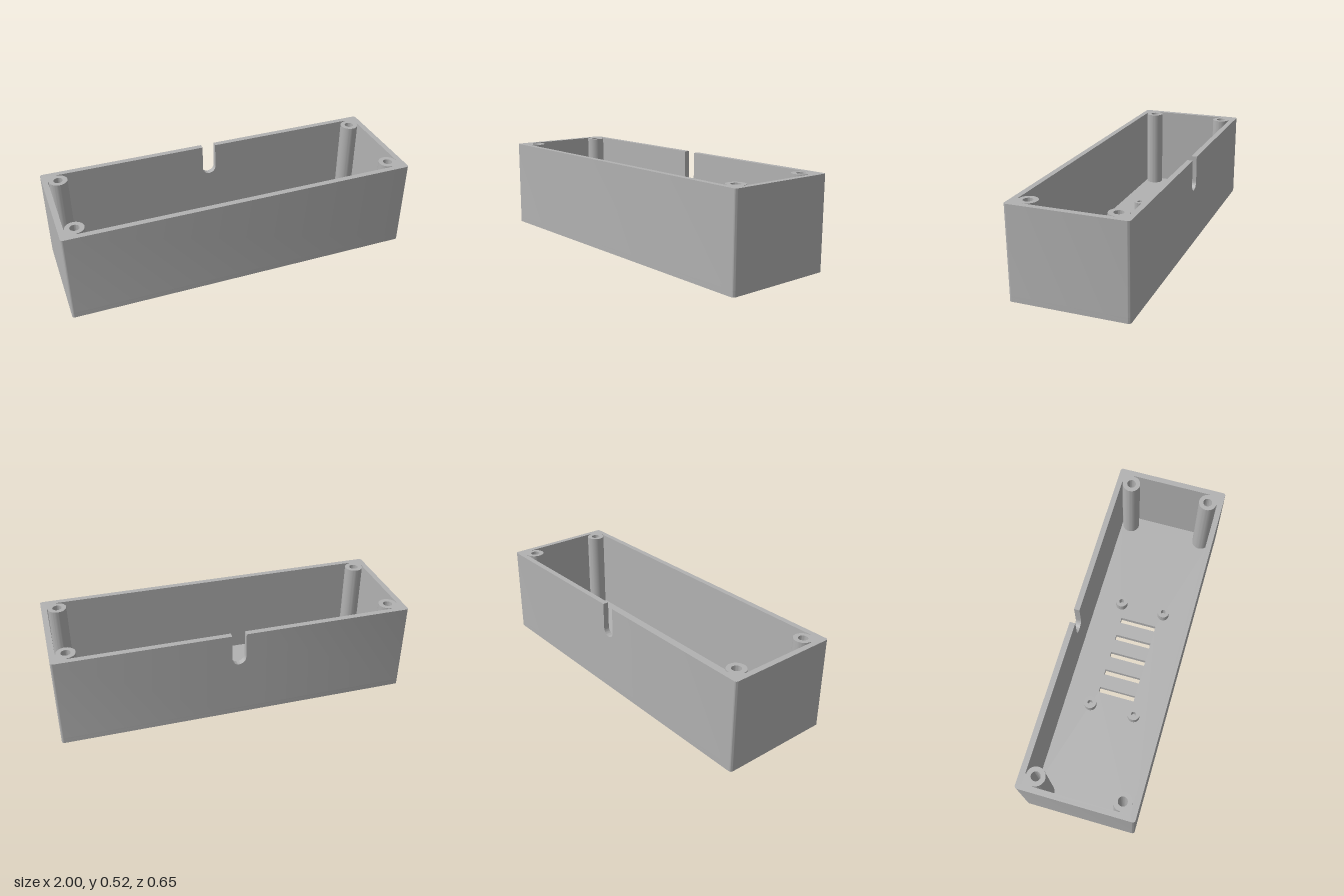
import * as THREE from 'three';
import { toCreasedNormals } from 'three/addons/utils/BufferGeometryUtils.js';

const W = 1, D = 0.324, H = 0.52;      // half width, half depth, height
const WALL = 0.032, FLOOR = 0.032, RECESS = 0.015;
const IX = W - WALL, IZ = D - WALL;    // inner half sizes
const R = 0.015;                       // vertical edge rounding
const GAP = 0.1;                       // half width of the notched back panel

const grey = new THREE.MeshStandardMaterial({ color: 0xb2b2b2 });
grey.name = 'grey plastic';

const v = (x, y) => new THREE.Vector2(x, y);

// Points along an arc, in order of angle from a0 to a1
function arc(cx, cy, r, a0, a1, n) {
  return Array.from({ length: n + 1 }, (_, i) => {
    const a = a0 + (a1 - a0) * i / n;
    return v(cx + r * Math.cos(a), cy + r * Math.sin(a));
  });
}
const circle = (x, y, r) => new THREE.Path(arc(x, y, r, 0, Math.PI * 2, 48).slice(0, -1));

// Rounded corner of the outer footprint, quarter q counted from +x +y
function corner(q) {
  const sx = q === 0 || q === 3 ? 1 : -1, sy = q < 2 ? 1 : -1;
  return arc(sx * (W - R), sy * (D - R), R, q * Math.PI / 2, (q + 1) * Math.PI / 2, 8);
}

function finish(geometry, name) {
  const mesh = new THREE.Mesh(toCreasedNormals(geometry, 0.6), grey);
  mesh.name = name;
  return mesh;
}

// Extrude a plan (shape y runs towards the back) from height y0 to y1
function upright(shape, y0, y1, name) {
  const g = new THREE.ExtrudeGeometry(shape, { depth: y1 - y0, bevelEnabled: false, curveSegments: 32 });
  g.rotateX(-Math.PI / 2);
  g.translate(0, y0, 0);
  return finish(g, name);
}

// Floor plan with the five vent slots
function floorShape() {
  const s = new THREE.Shape([0, 1, 2, 3].flatMap(corner));
  for (let i = -2; i <= 2; i++) {
    const x = i * 0.118, w = 0.0165, d = 0.11;
    s.holes.push(new THREE.Path([v(x - w, -d), v(x + w, -d), v(x + w, d), v(x - w, d)]));
  }
  return s;
}

export function createModel() {
  const group = new THREE.Group();
  group.name = 'enclosure';
  const signs = [[1, 1], [-1, 1], [-1, -1], [1, -1]];

  // Floor: the lower layer also has the round foot recesses
  const lower = floorShape();
  for (const [sx, sy] of signs) lower.holes.push(circle(sx * 0.84, sy * 0.2, 0.077));
  group.add(upright(lower, 0, RECESS, 'floorLower'));
  group.add(upright(floorShape(), RECESS, FLOOR, 'floorUpper'));

  // Walls, open in the middle of the back
  const walls = new THREE.Shape([
    v(-GAP, D), ...corner(1), ...corner(2), ...corner(3), ...corner(0), v(GAP, D),
    v(GAP, IZ), v(IX, IZ), v(IX, -IZ), v(-IX, -IZ), v(-IX, IZ), v(-GAP, IZ),
  ]);
  group.add(upright(walls, FLOOR, H, 'walls'));

  // Back panel with a round-bottomed cable notch
  const panel = new THREE.Shape([
    v(-GAP, FLOOR), v(GAP, FLOOR), v(GAP, H), v(0.04, H),
    ...arc(0, 0.372, 0.04, 0, -Math.PI, 24), v(-0.04, H), v(-GAP, H),
  ]);
  const panelGeometry = new THREE.ExtrudeGeometry(panel, { depth: WALL, bevelEnabled: false });
  panelGeometry.translate(0, 0, -D);
  group.add(finish(panelGeometry, 'backPanel'));

  const px = 0.912, py = 0.235, pr = 0.052;
  for (const [sx, sy] of signs) {
    // Corner screw post: three quarters of a cylinder merged into the corner
    const outline = [
      v(0, IZ - py), ...arc(0, 0, pr, Math.PI / 2, Math.PI * 2, 36),
      v(IX - px, 0), v(IX - px, IZ - py),
    ].map((p) => v(sx * (px + p.x), sy * (py + p.y)));
    const post = new THREE.Shape(outline);
    post.holes.push(circle(sx * px, sy * py, 0.026));
    group.add(upright(post, FLOOR, H, 'screwPost'));

    // Small board standoff on the floor
    const standoff = new THREE.Shape(circle(sx * 0.342, sy * 0.135, 0.036).getPoints());
    standoff.holes.push(circle(sx * 0.342, sy * 0.135, 0.015));
    group.add(upright(standoff, FLOOR, FLOOR + 0.05, 'boardStandoff'));
  }
  return group;
}
